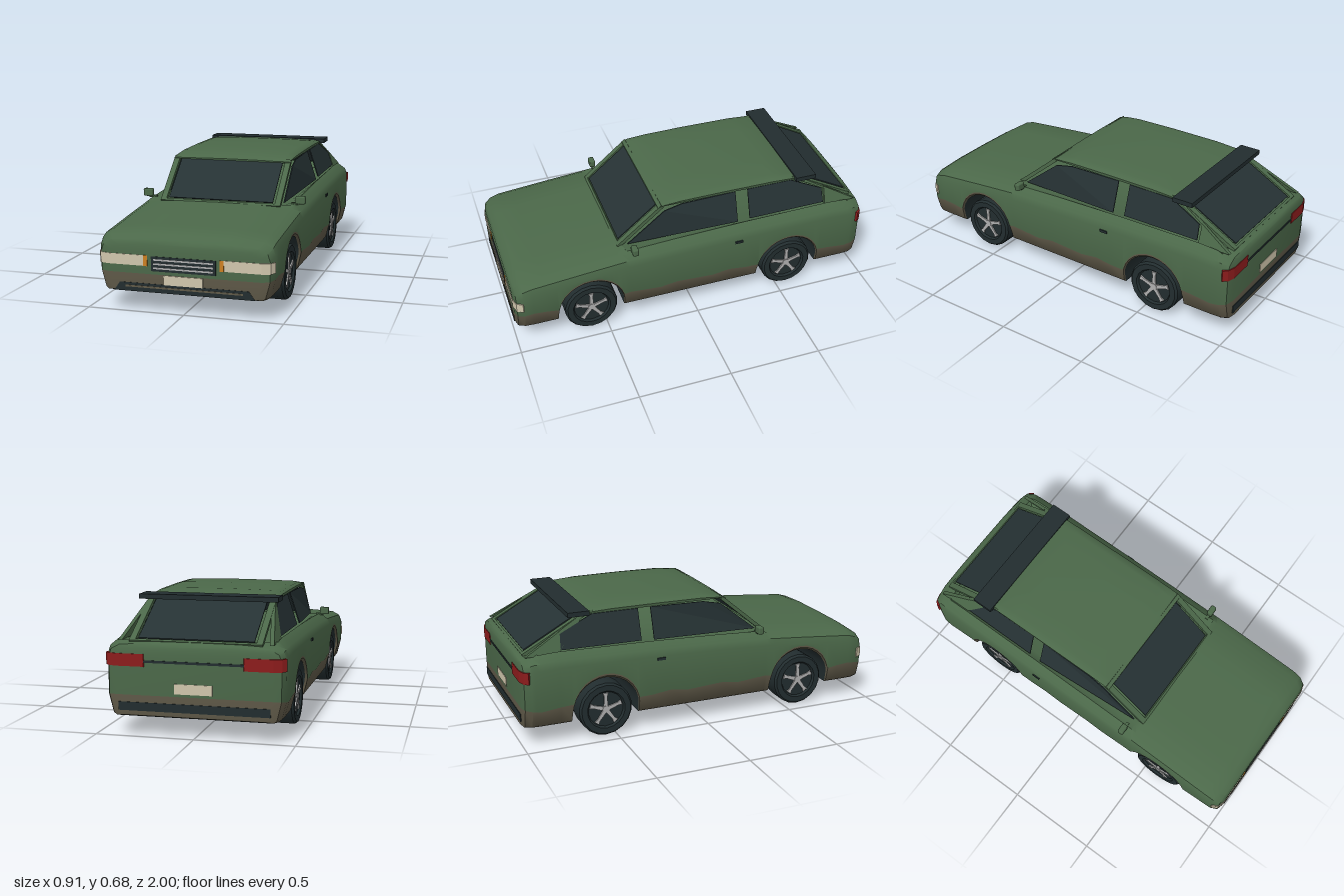
import * as THREE from 'three';
import { toCreasedNormals } from 'three/addons/utils/BufferGeometryUtils.js';
import { RoundedBoxGeometry } from 'three/addons/geometries/RoundedBoxGeometry.js';

const material = (name, color, side = THREE.FrontSide) => {
  const m = new THREE.MeshStandardMaterial({ color, side });
  m.name = name;
  return m;
};

// linear lookup in a table of [z, value] with falling z
function lookup(table, z) {
  for (let i = 1; i < table.length; i++) {
    const [z0, v0] = table[i - 1], [z1, v1] = table[i];
    if (z >= z1) return v0 + (v1 - v0) * THREE.MathUtils.clamp((z0 - z) / (z0 - z1), 0, 1);
  }
  return table[table.length - 1][1];
}

// skin over mirrored half sections (bottom centre to top centre), front to back
function loft(sections, bandMaterial, crease) {
  const n = sections[0].points.length, ring = 2 * n - 1, last = sections.length - 1;
  const pos = [], index = [], geo = new THREE.BufferGeometry();
  for (const { z, points } of sections) {
    for (let k = 0; k < ring; k++) {
      const [x, y] = points[k < n ? k : ring - 1 - k];
      pos.push(k < n ? x : -x, y, z);
    }
  }
  for (let k = 0; k < ring - 1; k++) {
    const start = index.length;
    for (let i = 0; i < last; i++) {
      const a = i * ring + k, b = a + ring;
      index.push(a, b, a + 1, b, b + 1, a + 1);
    }
    if (k < n - 1) {
      const l = ring - 1 - k, e = last * ring;
      index.push(k, k + 1, l - 1, k, l - 1, l);
      index.push(e + k, e + l - 1, e + k + 1, e + k, e + l, e + l - 1);
    }
    geo.addGroup(start, index.length - start, bandMaterial(k < n - 1 ? k : ring - 2 - k));
  }
  geo.setAttribute('position', new THREE.Float32BufferAttribute(pos, 3));
  geo.setIndex(index);
  return toCreasedNormals(geo, crease);
}

const shapeOf = (pts) => new THREE.Shape(pts.map(([x, y]) => new THREE.Vector2(x, y)));
const extrude = (shape, depth) => new THREE.ExtrudeGeometry(shape, { depth, bevelEnabled: false });

export function createModel() {
  const car = new THREE.Group();
  car.name = 'car';
  const paint = material('green paint', 0x4b6849);
  const dirt = material('mud brown', 0x5f5948);
  const trim = material('dark trim', 0x222d2f);
  const glass = material('dark glass', 0x263234, THREE.DoubleSide);
  const cream = material('cream', 0xd0c6ac);
  const amber = material('amber', 0xcc8022);
  const red = material('tail red', 0x8c1c1c);
  const silver = material('silver', 0xb0b0b0);

  const add = (name, geo, mat, parent = car) => {
    const m = new THREE.Mesh(geo, mat);
    m.name = name;
    parent.add(m);
    return m;
  };
  const box = (name, mat, w, h, d, x, y, z) =>
    add(name, new THREE.BoxGeometry(w, h, d), mat).position.set(x, y, z);

  // lower body with wheel arches running across it
  const axles = [0.585, -0.555], axleY = 0.145, archR = 0.183;
  const widths = [[0.997, 0.39], [0.985, 0.43], [0.95, 0.447], [0.9, 0.45], [-0.9, 0.45], [-0.95, 0.447], [-0.985, 0.43], [-0.997, 0.39]];
  const tops = [[0.997, 0.345], [0.985, 0.365], [0.95, 0.387], [0.9, 0.402], [0.6, 0.43], [0.4, 0.447],
    [0.1, 0.462], [-0.3, 0.476], [-0.8, 0.485], [-0.93, 0.478], [-0.985, 0.465], [-0.997, 0.45]];
  const stations = [0.997, 0.985, 0.95, 0.9, 0.83, 0.4, 0.37, 0.2, 0.1, 0, -0.1, -0.2, -0.3, -0.8, -0.9, -0.93, -0.95, -0.985, -0.997]
    .map((z) => [z, Math.abs(z) > 0.99 ? 0.106 : 0.1]);
  for (const c of axles) {
    stations.push([c + archR + 0.002, 0.1], [c - archR - 0.002, 0.1]);
    for (let i = 0; i <= 14; i++) {
      const a = (i / 14) * Math.PI;
      stations.push([c + archR * Math.cos(a), axleY + archR * Math.sin(a)]);
    }
  }
  stations.sort((p, q) => q[0] - p[0]);
  const bodySections = stations.map(([z, b]) => {
    const w = lookup(widths, z), t = lookup(tops, z);
    const mud = Math.max(0.2 + 0.008 * Math.sin(z * 23), b + 0.022);
    const at = (y) => w - 0.25 * THREE.MathUtils.clamp(0.2 - y, 0, 0.1);
    const cabin = z < 0.38 && z > -0.91;
    return { z, points: [[0, b], [at(b) - 0.012, b], [at(b + 0.012), b + 0.012], [w, mud],
      [w, t - 0.07], [w - 0.012, t - 0.035], [w - 0.055, t - (cabin ? 0 : 0.012)],
      [cabin ? 0.35 : w * 0.5, cabin ? 0.442 : t - 0.002], [0, cabin ? 0.442 : t]] };
  });
  add('body', loft(bodySections, (k) => (k === 0 ? 0 : k < 3 ? 1 : 2), 0.7), [trim, dirt, paint]);

  // roof slab
  const roofLine = [[0.175, 0.647], [0.14, 0.661], [0.04, 0.677], [-0.2, 0.682], [-0.48, 0.68], [-0.6, 0.668], [-0.65, 0.65]];
  add('roof', loft(roofLine.map(([z, t]) => {
    const u = Math.min(t - 0.01, 0.645);
    return { z, points: [[0, u], [0.332, u], [0.334, u + (t - u) * 0.4], [0.322, t - (t - u) * 0.3], [0.29, t - 0.004], [0.15, t - 0.001], [0, t]] };
  }), () => 0, 0.7), [paint]);

  // sloping window frames at both ends, with floating glass
  function endWindow(name, zBottom, yBottom, zTop, yTop) {
    const up = new THREE.Vector3(0, yTop - yBottom, zTop - zBottom), len = up.length();
    up.normalize();
    const across = new THREE.Vector3(zBottom > 0 ? 1 : -1, 0, 0);
    const out = across.clone().cross(up);
    const place = (geo, lift) => geo.applyMatrix4(new THREE.Matrix4().makeBasis(across, up, out)
      .setPosition(out.x * lift, yBottom + out.y * lift, zBottom + out.z * lift));
    const rect = (w, lo, hi) => [[-w, lo], [w, lo], [w, hi], [-w, hi]];
    const frame = shapeOf(rect(0.333, 0, len));
    frame.holes.push(shapeOf(rect(0.302, 0.014, len - 0.012)));
    add(name + 'Frame', place(extrude(frame, 0.02), -0.018), paint);
    add(name, place(extrude(shapeOf(rect(0.29, 0.022, len - 0.018)), 0.006), -0.004), glass);
  }
  endWindow('windshield', 0.405, 0.443, 0.155, 0.652);
  endWindow('rearWindow', -0.965, 0.47, -0.62, 0.66);

  // side panels given as [z, y], leaning in with height
  function sidePanel(name, s, pts, depth, mat) {
    const geo = extrude(shapeOf(pts.map(([z, y]) => [-s * z, y])), depth);
    const p = geo.attributes.position;
    for (let i = 0; i < p.count; i++) {
      const z = -s * p.getX(i), y = p.getY(i);
      const taper = Math.max(0, z - 0.1) * 0.2 * (0.645 - y) / 0.19;
      p.setXYZ(i, s * (0.392 - (y - 0.46) * 0.33 - taper + p.getZ(i) - depth), y, z);
    }
    geo.computeVertexNormals();
    add(name, geo, mat);
  }
  // plates that wrap a body corner, given as plan points
  function cornerLamp(name, s, end, pts, y, h, mat) {
    const inner = pts.map(([x, z]) => [x - 0.012, z - 0.012]).reverse();
    const geo = extrude(shapeOf([...pts, ...inner].map(([x, z]) => [s * x, -end * z])), h);
    add(name, geo.rotateX(-Math.PI / 2).translate(0, y, 0), mat);
  }

  for (const s of [1, -1]) {
    const side = s > 0 ? 'left' : 'right';
    sidePanel(side + 'FrontWindow', s, [[0.35, 0.452], [0.14, 0.618], [0.04, 0.638], [-0.265, 0.643], [-0.265, 0.478]], 0.006, glass);
    sidePanel(side + 'RearWindow', s, [[-0.335, 0.643], [-0.59, 0.643], [-0.77, 0.565], [-0.775, 0.486], [-0.335, 0.482]], 0.006, glass);
    sidePanel(side + 'RearPillar', s, [[-0.58, 0.66], [-0.62, 0.66], [-0.965, 0.47], [-0.785, 0.47], [-0.785, 0.572], [-0.6, 0.652]], 0.02, paint);
    cornerLamp(side + 'Headlight', s, 1, [[0.205, 1], [0.392, 1], [0.434, 0.987], [0.451, 0.955]], 0.234, 0.053, cream);
    cornerLamp(side + 'TailLight', s, -1, [[0.25, 1], [0.392, 1], [0.434, 0.987], [0.452, 0.965]], 0.348, 0.062, red);
    box(side + 'Indicator', amber, 0.021, 0.054, 0.008, s * 0.195, 0.26, 0.997);
    box(side + 'DoorHandle', trim, 0.008, 0.014, 0.045, s * 0.452, 0.39, -0.25);

    // door mirror
    add(side + 'Mirror', new RoundedBoxGeometry(0.054, 0.042, 0.032, 2, 0.008), paint).position.set(s * 0.428, 0.469, 0.335);
    box(side + 'MirrorStem', paint, 0.045, 0.012, 0.016, s * 0.4, 0.449, 0.335);
  }

  // front and rear fittings
  box('grille', trim, 0.33, 0.074, 0.008, 0, 0.247, 0.996);
  for (const y of [0.226, 0.247, 0.268]) box('grilleBar', silver, 0.306, 0.008, 0.006, 0, y, 0.999);
  box('frontPlate', cream, 0.198, 0.047, 0.006, 0, 0.168, 0.998);
  add('lowerIntake', extrude(shapeOf([[-0.36, 0.102], [0.36, 0.102], [0.33, 0.145], [-0.33, 0.145]]), 0.008), trim).position.z = 0.991;
  box('intakeStrip', dirt, 0.6, 0.009, 0.005, 0, 0.128, 0.999);
  box('rearBumper', trim, 0.76, 0.042, 0.009, 0, 0.15, -0.996);
  box('rearStrip', trim, 0.5, 0.012, 0.006, 0, 0.374, -0.997);
  box('rearPlate', cream, 0.19, 0.05, 0.006, 0, 0.245, -0.997);
  box('spoiler', trim, 0.72, 0.025, 0.115, 0, 0.657, -0.668);

  // wheels: a turned tyre, five spokes and a hub
  const profile = [[0, -0.06], [0.09, -0.06], [0.1, -0.07], [0.135, -0.07], [0.145, -0.058], [0.145, 0.058],
    [0.135, 0.07], [0.104, 0.07], [0.096, 0.058], [0, 0.058]].map(([r, y]) => new THREE.Vector2(r, y));
  const tyre = toCreasedNormals(new THREE.LatheGeometry(profile, 18), 0.6);
  const spoke = extrude(shapeOf([[-0.012, 0], [0.012, 0], [0.008, 0.07], [0.014, 0.09], [-0.014, 0.09], [-0.008, 0.07]]), 0.008);
  const hub = new THREE.CylinderGeometry(0.02, 0.02, 0.012, 12).rotateX(Math.PI / 2);
  for (const z of axles) for (const s of [1, -1]) {
    const wheel = new THREE.Group();
    wheel.name = (z > 0 ? 'front' : 'rear') + (s > 0 ? 'Left' : 'Right') + 'Wheel';
    wheel.position.set(s * 0.365, axleY, z);
    wheel.rotation.y = s * Math.PI / 2;
    add('tyre', tyre, trim, wheel).rotation.x = Math.PI / 2;
    for (let i = 0; i < 5; i++) {
      const m = add('spoke', spoke, silver, wheel);
      m.position.z = 0.057;
      m.rotation.z = (i / 5) * Math.PI * 2;
    }
    add('hub', hub, silver, wheel).position.z = 0.062;
    car.add(wheel);
  }
  return car;
}
